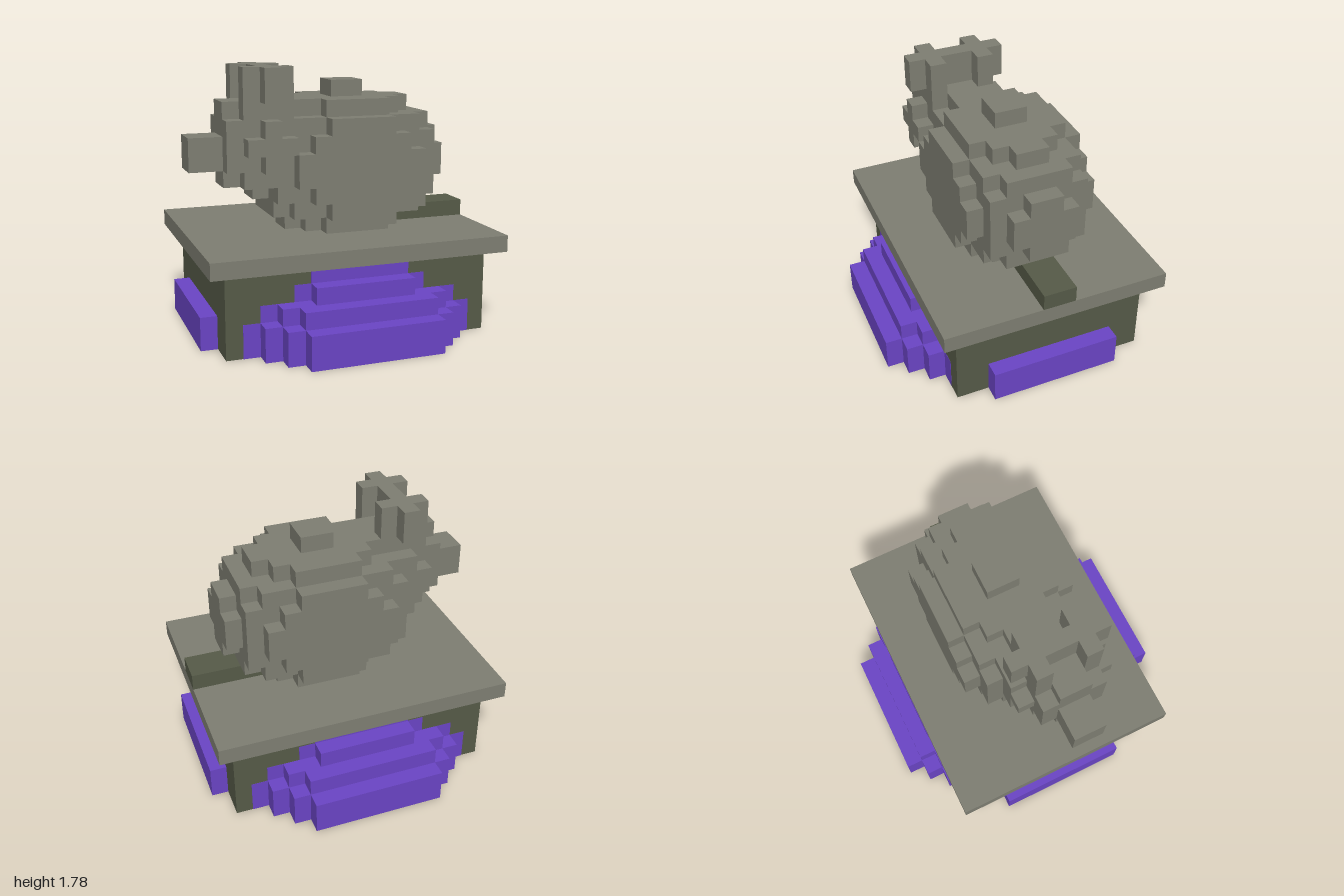
import * as THREE from 'three';

const U = 1 / 9; // one block

const mat = (name, color) => {
  const m = new THREE.MeshStandardMaterial({ color });
  m.name = name;
  return m;
};

export function createModel() {
  const stone = mat('stone grey', 0x7f7f73);
  const dark = mat('dark olive', 0x565b48);
  const purple = mat('purple', 0x6b45c6);

  const model = new THREE.Group();
  model.name = 'statueOnPedestal';

  // Box from its low and high corners, in blocks
  const box = (parent, name, material, x0, x1, y0, y1, z0, z1) => {
    const geo = new THREE.BoxGeometry((x1 - x0) * U, (y1 - y0) * U, (z1 - z0) * U);
    const mesh = new THREE.Mesh(geo, material);
    mesh.position.set((x0 + x1) / 2 * U, (y0 + y1) / 2 * U, (z0 + z1) / 2 * U);
    mesh.name = name;
    parent.add(mesh);
  };
  // Box from its centre and half sizes, in blocks
  const centred = (parent, name, material, [x, y, z], hx, hy, hz) =>
    box(parent, name, material, x - hx, x + hx, y - hy, y + hy, z - hz, z + hz);
  const group = (name) => {
    const g = new THREE.Group();
    g.name = name;
    model.add(g);
    return g;
  };

  // Pedestal, a hair behind the mound at front, back and bottom
  const e = 0.015;
  box(model, 'pedestal', dark, -8, 8, e, 5, -6 + e, 6 - e);
  box(model, 'pedestalSlab', stone, -9, 9, 5, 6, -7, 7);

  // Stepped mound pushing through the pedestal: half x, height, half z
  const mound = group('mound');
  [
    [9, 2, 4], [8 - e, 2, 5], [7, 2, 6], [6, 2, 7], [5, 2, 8], [4, 2, 9],
    [6, 3, 6], [5, 3, 7], [4, 3, 8],
    [4, 4, 6], [3, 4, 7], [3, 5, 6],
  ].forEach(([hx, h, hz]) => box(mound, 'moundStep', purple, -hx, hx, 0, h, -hz, hz));

  // Body: a blocky ellipsoid made of nested boxes
  const body = group('body');
  for (let hy = 1; hy <= 4; hy++) {
    for (let hz = 1; hz <= 4; hz++) {
      const rest = 1 - ((hy - 0.5) ** 2 + (hz - 0.5) ** 2) / 4.5 ** 2;
      if (rest <= 0) continue;
      const hx = Math.floor(6 * Math.sqrt(rest) + 0.5);
      if (hx > 0) centred(body, 'bodyBlock', stone, [1, 10, 0], hx, hy, hz);
    }
  }

  // Head: a smaller blocky ball
  const head = group('head');
  [
    [2.5, 2.5, 1], [2.5, 1.5, 2], [1.5, 2.5, 2], [1.5, 0.5, 3], [0.5, 1.5, 3],
  ].forEach(([hx, hy, hz]) => centred(head, 'headBlock', stone, [-4.5, 11.5, 1], hx, hy, hz));
  box(head, 'snout', stone, -9, -7, 10, 12, 0, 2);

  // Ears: two cross-shaped columns
  for (const z of [2.5, -0.5]) {
    centred(head, 'ear', stone, [-4.5, 15, z], 1.5, 1, 0.5);
    centred(head, 'ear', stone, [-4.5, 15, z], 0.5, 1, 1.5);
  }

  // Top knob and the bar behind the body
  box(model, 'topKnob', stone, 0, 2, 14, 15, -1, 1);
  box(model, 'tailBar', dark, 4, 9, 6, 7, -1 - e, 1 + e);

  return model;
}
